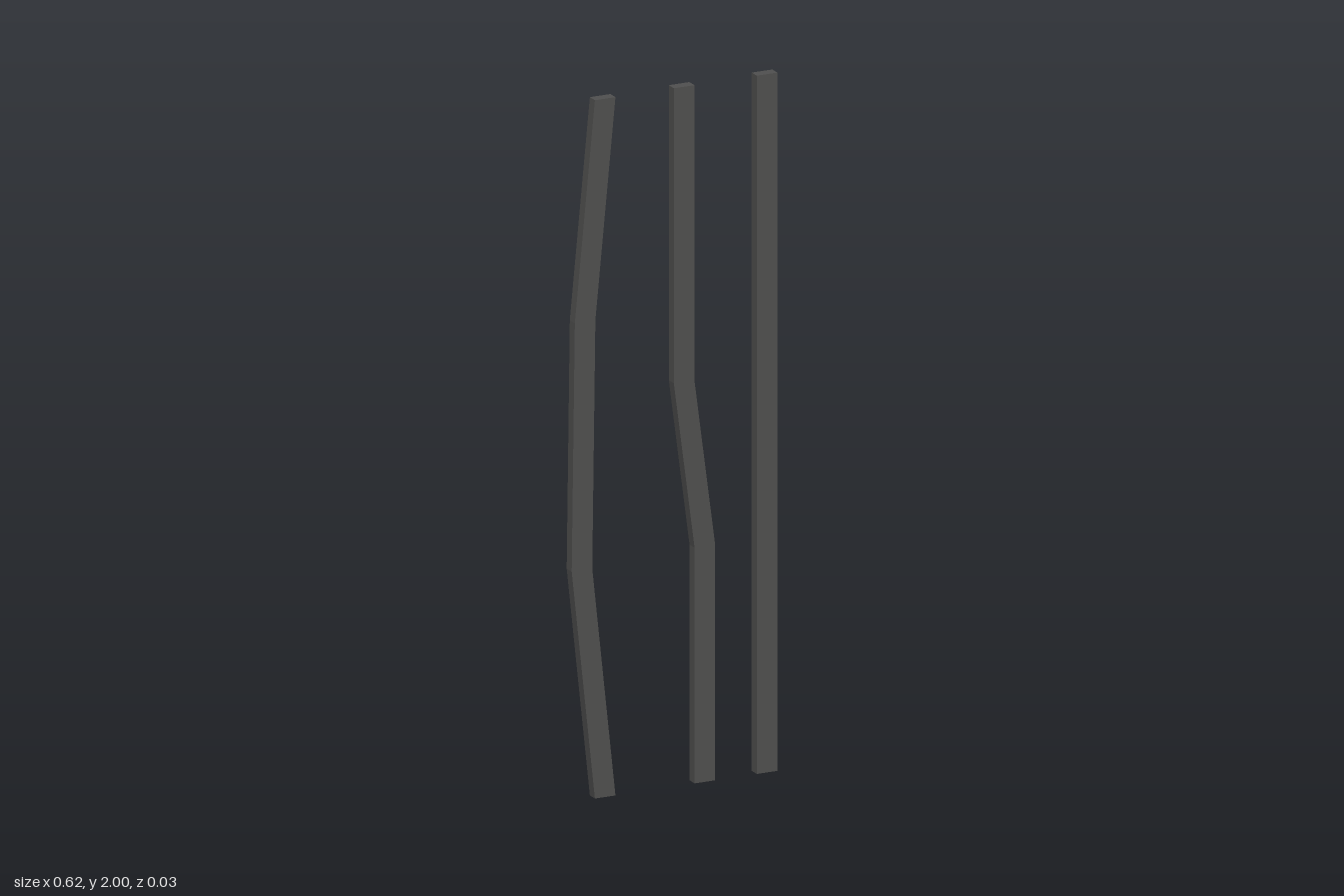
import * as THREE from 'three';

const WIDTH = 0.0625;
const DEPTH = 0.031;

// Flat bar of constant horizontal width following [left edge x, y] points from bottom to top
function makeBar(name, points, material) {
  const left = points.map(([x, y]) => new THREE.Vector2(x, y));
  const right = points.map(([x, y]) => new THREE.Vector2(x + WIDTH, y));
  const shape = new THREE.Shape([...right, ...left.reverse()]);
  const geometry = new THREE.ExtrudeGeometry(shape, { depth: DEPTH, bevelEnabled: false });
  geometry.translate(0, 0, -DEPTH / 2);
  const mesh = new THREE.Mesh(geometry, material);
  mesh.name = name;
  return mesh;
}

export function createModel() {
  const group = new THREE.Group();
  group.name = 'bars';
  const darkGrey = new THREE.MeshStandardMaterial({ color: 0x50504f });
  darkGrey.name = 'darkGrey';

  group.add(
    // Bar bowed outward with two kinks
    makeBar('bowedBar', [[-0.242, 0], [-0.3125, 0.66], [-0.303, 1.37], [-0.242, 2]], darkGrey),
    // Bar with a sideways step in the middle
    makeBar('offsetBar', [[0.061, 0], [0.061, 0.675], [-0.002, 1.155], [-0.002, 2]], darkGrey),
    // Plain straight bar
    makeBar('straightBar', [[0.25, 0], [0.25, 2]], darkGrey)
  );
  return group;
}
